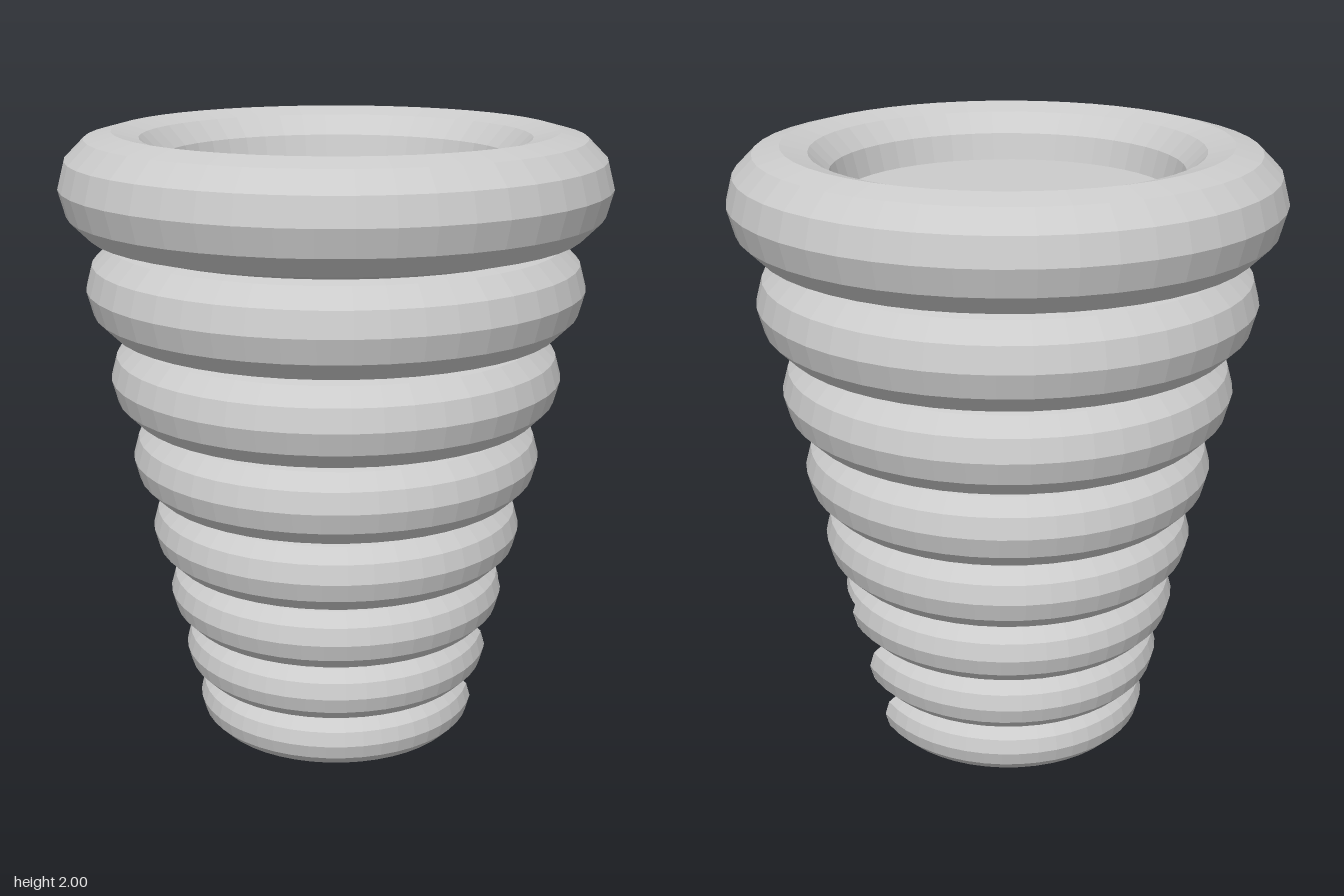
import * as THREE from 'three';

const SEGMENTS = 48, SIDES = 12, RINGS = 8, RATIO = 0.914;
const NOTCH = { x: 0.35, z: 0.17, y: 0.51 }; // inner face, half width, ceiling

// Split a convex polygon at an axis plane: [part beyond it, remainder]
function split(poly, axis, value, sign) {
  const beyond = [], rest = [];
  poly.forEach((a, i) => {
    const b = poly[(i + 1) % poly.length];
    const da = sign * (a[axis] - value), db = sign * (b[axis] - value);
    if (da >= 0) beyond.push(a);
    if (da <= 0) rest.push(a);
    if (da * db < 0) {
      const p = a.clone().lerp(b, da / (da - db));
      beyond.push(p);
      rest.push(p);
    }
  });
  return [beyond, rest];
}

// Geometry from convex polygons, each cut into a fan
function fromPolygons(polys) {
  const points = [];
  for (const p of polys) {
    for (let i = 1; i + 1 < p.length; i++) points.push(p[0], p[i], p[i + 1]);
  }
  const geo = new THREE.BufferGeometry().setFromPoints(points);
  geo.computeVertexNormals();
  return geo;
}

// Remove everything inside the notch from a geometry
function cutNotch(geo) {
  const pos = geo.toNonIndexed().attributes.position;
  const kept = [];
  for (let i = 0; i < pos.count; i += 3) {
    let rest = [0, 1, 2].map((k) => new THREE.Vector3().fromBufferAttribute(pos, i + k));
    const planes = [['x', NOTCH.x, -1], ['z', NOTCH.z, 1], ['z', -NOTCH.z, -1], ['y', NOTCH.y, 1]];
    for (const [axis, value, sign] of planes) {
      const [outside, inside] = split(rest, axis, value, sign);
      if (outside.length > 2) kept.push(outside);
      rest = inside;
      if (rest.length < 3) break;
    }
  }
  return fromPolygons(kept);
}

export function createModel() {
  const group = new THREE.Group();
  const material = new THREE.MeshStandardMaterial({ color: 0xcccccc, flatShading: true });
  const wallMaterial = new THREE.MeshStandardMaterial({
    color: 0xcccccc, flatShading: true, side: THREE.DoubleSide,
  });
  const add = (name, geo, mat = material) => {
    const mesh = new THREE.Mesh(geo, mat);
    mesh.name = name;
    group.add(mesh);
  };

  // Stacked rings, each a fixed ratio smaller than the one above
  const rings = [];
  let y = 1.83;
  for (let i = 0; i < RINGS; i++) {
    const s = RATIO ** i;
    rings.push({ radius: 0.7 * s, tube: 0.17 * s, y });
    y -= 0.32 * s;
  }
  rings.forEach((r, i) => {
    const geo = new THREE.TorusGeometry(r.radius, r.tube, SIDES, SEGMENTS);
    geo.rotateX(-Math.PI / 2).translate(0, r.y, 0);
    add(`ring${i + 1}`, r.y - r.tube < NOTCH.y ? cutNotch(geo) : geo);
  });

  // Tapered core closing the top and bottom recesses
  const top = rings[0], bottom = rings[RINGS - 1];
  const height = top.y - bottom.y;
  const core = new THREE.CylinderGeometry(top.radius, bottom.radius, height, SEGMENTS);
  core.translate(0, bottom.y + height / 2, 0);
  add('core', cutNotch(core));

  // Notch inner face
  const floorY = bottom.y - bottom.tube + 0.004;
  const v = (x, py, z) => new THREE.Vector3(x, py, z);
  const back = [v(NOTCH.x, floorY, NOTCH.z), v(NOTCH.x, floorY, -NOTCH.z),
    v(NOTCH.x, NOTCH.y, -NOTCH.z), v(NOTCH.x, NOTCH.y, NOTCH.z)];
  add('notchBack', fromPolygons([back]), wallMaterial);

  // Notch side walls: sections through the cut rings and the core
  const coreRadius = (py) => bottom.radius + (top.radius - bottom.radius) * (py - bottom.y) / height;
  const section = (r) => Math.sqrt(r * r - NOTCH.z ** 2);
  for (const side of [1, -1]) {
    const z = side * NOTCH.z;
    const outlines = rings.filter((r) => r.y - r.tube < NOTCH.y).map((r) =>
      Array.from({ length: SIDES }, (_, k) => {
        const a = (k / SIDES) * Math.PI * 2;
        return v(section(r.radius + r.tube * Math.cos(a)), r.y + r.tube * Math.sin(a), z);
      }));
    outlines.push([v(0.3, bottom.y, z), v(section(coreRadius(bottom.y)), bottom.y, z),
      v(section(coreRadius(NOTCH.y)), NOTCH.y, z), v(0.3, NOTCH.y, z)]);
    const walls = outlines
      .map((p) => split(split(p, 'x', NOTCH.x, 1)[0], 'y', NOTCH.y, -1)[0])
      .filter((p) => p.length > 2);
    add(side > 0 ? 'notchWallLeft' : 'notchWallRight', fromPolygons(walls), wallMaterial);
  }

  // Notch ceiling, bounded by the ring it cuts through
  const edge = 0.547;
  const ceiling = [v(NOTCH.x, NOTCH.y, -NOTCH.z)];
  for (let k = 0; k <= 6; k++) {
    const z = NOTCH.z * (k / 3 - 1);
    ceiling.push(v(Math.sqrt(edge * edge - z * z), NOTCH.y, z));
  }
  ceiling.push(v(NOTCH.x, NOTCH.y, NOTCH.z));
  add('notchCeiling', fromPolygons([ceiling]), wallMaterial);

  return group;
}
